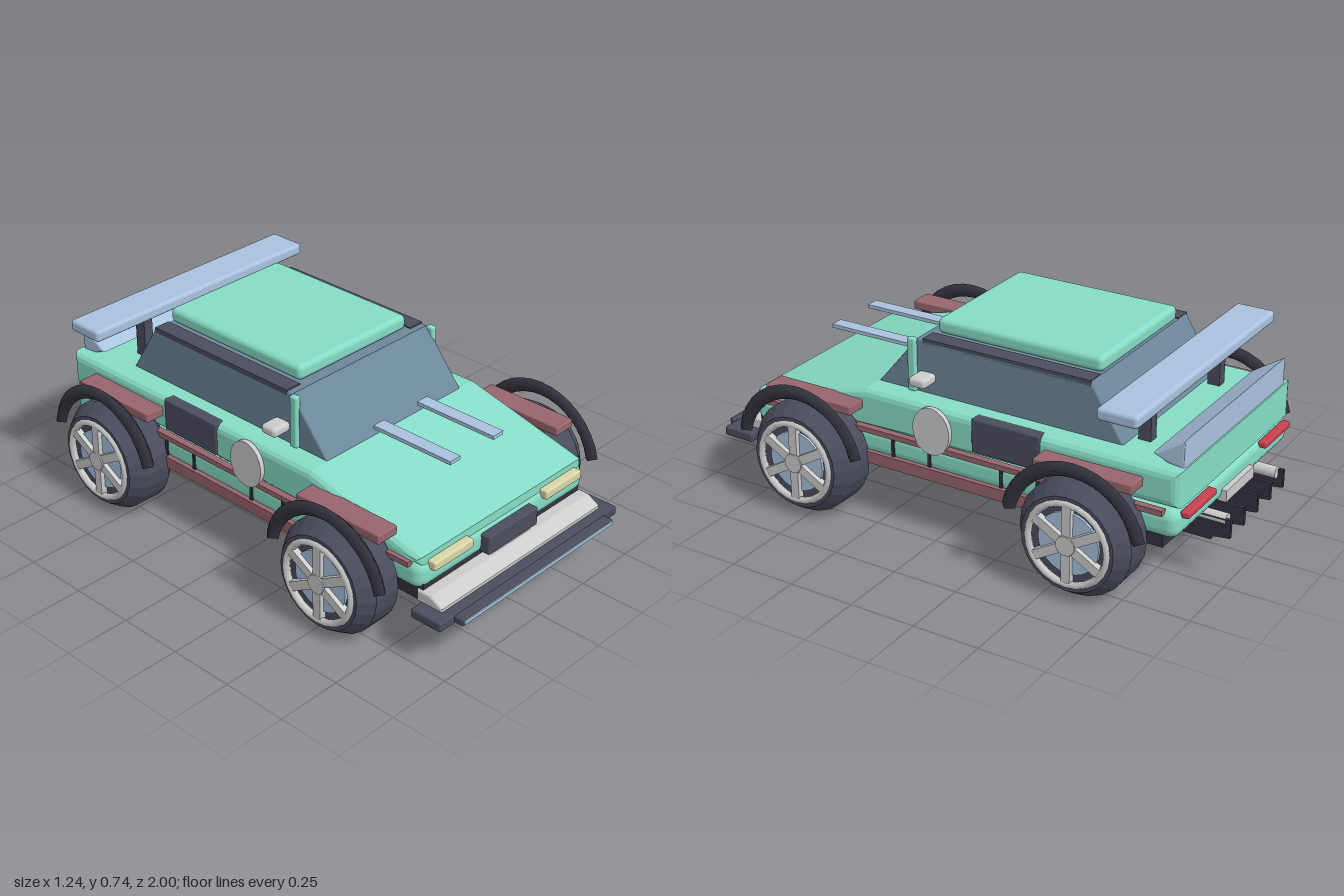
import * as THREE from 'three';
import { RoundedBoxGeometry } from 'three/addons/geometries/RoundedBoxGeometry.js';

const COLORS = {
  paint: 0x86dcc6, dark: 0x4b4d5e, black: 0x33343e, trim: 0x98656d, blue: 0xa9c2de,
  grey: 0xcccccc, glass: 0x6c8799, lamp: 0xd9d5a8, tail: 0xc8414e,
};
const materials = {};
for (const key in COLORS) {
  materials[key] = new THREE.MeshStandardMaterial({ color: COLORS[key] });
}
materials.tyre = new THREE.MeshStandardMaterial({ color: COLORS.dark, flatShading: true });

function add(parent, name, geometry, material) {
  const mesh = new THREE.Mesh(geometry, materials[material]);
  mesh.name = name;
  parent.add(mesh);
  return mesh;
}

// Box given by its limits on each axis, optionally with rounded edges
function box(parent, name, material, [x0, x1], [y0, y1], [z0, z1], radius = 0) {
  const size = [x1 - x0, y1 - y0, z1 - z0];
  const geometry = radius ? new RoundedBoxGeometry(...size, 3, radius) : new THREE.BoxGeometry(...size);
  const mesh = add(parent, name, geometry, material);
  mesh.position.set((x0 + x1) / 2, (y0 + y1) / 2, (z0 + z1) / 2);
  return mesh;
}

// The same box on both sides of the car
function pair(parent, name, material, [x0, x1], y, z, radius) {
  box(parent, name, material, [x0, x1], y, z, radius);
  box(parent, name, material, [-x1, -x0], y, z, radius);
}

// Side profile in (z, y) stretched across the car's width
function across(parent, name, material, points, width, bevel = 0, x = 0) {
  const shape = new THREE.Shape(points.map(([z, y]) => new THREE.Vector2(z, y)));
  const geometry = new THREE.ExtrudeGeometry(shape, {
    depth: width - 2 * bevel, bevelEnabled: bevel > 0, bevelSize: bevel,
    bevelOffset: -bevel, bevelThickness: bevel, bevelSegments: 3,
  });
  geometry.translate(0, 0, -(width - 2 * bevel) / 2);
  geometry.rotateY(-Math.PI / 2);
  const mesh = add(parent, name, geometry, material);
  mesh.position.x = x;
  return mesh;
}

// Wheel with its outer face towards +x, measured from the car's centre line
function makeWheel() {
  const wheel = new THREE.Group();
  wheel.name = 'wheel';
  const profile = [[0, 0.395], [0.17, 0.395], [0.213, 0.445], [0.213, 0.55], [0.175, 0.605],
    [0.155, 0.605], [0.155, 0.585], [0, 0.585]].map(([r, x]) => new THREE.Vector2(r, x));
  add(wheel, 'tyre', new THREE.LatheGeometry(profile, 24), 'tyre').rotation.z = -Math.PI / 2;
  const disc = add(wheel, 'wheelDisc', new THREE.CylinderGeometry(0.115, 0.115, 0.02, 24), 'blue');
  disc.rotation.z = Math.PI / 2;
  disc.position.x = 0.585;
  const rim = add(wheel, 'rim', new THREE.TorusGeometry(0.15, 0.014, 6, 24), 'grey');
  rim.rotation.y = Math.PI / 2;
  rim.position.x = 0.602;
  for (let i = 0; i < 6; i++) {
    const spoke = add(wheel, 'spoke', new THREE.BoxGeometry(0.025, 0.13, 0.034).translate(0, 0.085, 0), 'grey');
    spoke.position.x = 0.6;
    spoke.rotation.x = i * Math.PI / 3;
  }
  const hub = add(wheel, 'hub', new THREE.CylinderGeometry(0.036, 0.036, 0.035, 16), 'grey');
  hub.rotation.z = Math.PI / 2;
  hub.position.x = 0.6;
  return wheel;
}

export function createModel() {
  const car = new THREE.Group();
  car.name = 'rallyCar';

  // Body: floor, lower shell, wedge-shaped upper shell
  box(car, 'floor', 'black', [-0.42, 0.42], [0.19, 0.26], [-0.85, 0.83]);
  box(car, 'lowerBody', 'paint', [-0.445, 0.445], [0.235, 0.343], [-0.91, 0.835], 0.04);
  across(car, 'upperBody', 'paint',
    [[-0.91, 0.35], [0.825, 0.33], [0.825, 0.365], [0.33, 0.487], [-0.91, 0.485]], 0.88, 0.03);

  // Cabin
  across(car, 'cabinGlass', 'glass',
    [[-0.66, 0.48], [0.335, 0.48], [0.165, 0.685], [-0.53, 0.685]], 0.7, 0.008);
  box(car, 'roof', 'paint', [-0.275, 0.275], [0.685, 0.743], [-0.53, 0.13], 0.02);
  pair(car, 'roofRail', 'dark', [0.285, 0.35], [0.67, 0.69], [-0.53, 0.14]);
  pair(car, 'windscreenPost', 'paint', [0.34, 0.366], [0.485, 0.687], [0.165, 0.198], 0.008);
  pair(car, 'mirror', 'grey', [0.345, 0.427], [0.532, 0.57], [0.085, 0.155], 0.015);

  // Flanks
  pair(car, 'sill', 'trim', [0.41, 0.455], [0.205, 0.25], [-0.4, 0.34]);
  pair(car, 'sideStrip', 'trim', [0.43, 0.457], [0.325, 0.345], [-0.86, 0.79]);
  for (const z of [0.21, 0.055, -0.24, -0.385]) {
    pair(car, 'panelGap', 'black', [0.43, 0.45], [0.255, 0.325], [z - 0.006, z + 0.006]);
  }
  pair(car, 'sideIntake', 'dark', [0.4, 0.447], [0.36, 0.487], [-0.39, -0.12], 0.006);
  for (const side of [1, -1]) {
    const roundel = add(car, 'doorDisc', new THREE.CylinderGeometry(0.08, 0.08, 0.018, 32), 'grey');
    roundel.rotation.z = Math.PI / 2;
    roundel.scale.set(1.12, 1, 0.95);
    roundel.position.set(side * 0.449, 0.4, 0.04);
  }

  // Wheels, arches and fender blocks
  for (const z of [0.53, -0.592]) {
    for (const side of [1, -1]) {
      const wheel = makeWheel();
      wheel.position.set(0, 0.213, z);
      wheel.rotation.y = side > 0 ? 0 : Math.PI;
      car.add(wheel);
      const arc = Math.PI * 0.86;
      const arch = add(car, 'wheelArch',
        new THREE.TorusGeometry(0.25, 0.027, 4, 16, arc).rotateZ((Math.PI - arc) / 2), 'black');
      arch.rotation.y = Math.PI / 2;
      arch.position.set(side * 0.572, 0.222, z);
      arch.material.side = THREE.DoubleSide;
    }
    pair(car, 'fenderBlock', 'trim', [0.425, 0.517], [0.407, 0.443], [z - 0.187, z + 0.187], 0.006);
  }

  // Hood bars
  pair(car, 'hoodBar', 'blue', [0.087, 0.14], [0.533, 0.547], [0.35, 0.695]);

  // Front end
  pair(car, 'headlight', 'lamp', [0.195, 0.395], [0.307, 0.343], [0.82, 0.857], 0.008);
  box(car, 'frontPlate', 'dark', [-0.132, 0.132], [0.247, 0.318], [0.82, 0.87], 0.006);
  box(car, 'frontPlateStrip', 'grey', [-0.105, 0.105], [0.235, 0.247], [0.82, 0.86]);
  across(car, 'frontBumper', 'grey',
    [[0.81, 0.19], [0.92, 0.19], [0.92, 0.208], [0.87, 0.236], [0.81, 0.236]], 0.86, 0.008);
  box(car, 'frontGuard', 'dark', [-0.482, 0.482], [0.16, 0.196], [0.83, 0.958], 0.008);
  box(car, 'splitter', 'dark', [-0.41, 0.41], [0.165, 0.192], [0.95, 0.993], 0.006);
  box(car, 'splitterStrip', 'blue', [-0.405, 0.405], [0.173, 0.187], [0.985, 0.997]);

  // Rear end
  pair(car, 'tailLight', 'tail', [0.195, 0.405], [0.31, 0.335], [-0.934, -0.9], 0.008);
  box(car, 'rearPlate', 'grey', [-0.11, 0.11], [0.24, 0.283], [-0.93, -0.9]);
  for (let i = -2; i <= 2; i++) {
    across(car, 'diffuserFin', 'black',
      [[-1, 0.172], [-0.94, 0.165], [-0.93, 0.15], [-0.81, 0.15], [-0.81, 0.24], [-1, 0.24]],
      0.014, 0, i * 0.107);
  }
  for (const x of [0.2, -0.2]) {
    const pipe = add(car, 'exhaust', new THREE.CylinderGeometry(0.022, 0.022, 0.12, 16), 'grey');
    pipe.rotation.x = Math.PI / 2;
    pipe.position.set(x, 0.23, -0.92);
  }

  // Rear wing and lip spoiler
  box(car, 'wing', 'blue', [-0.526, 0.526], [0.647, 0.693], [-0.797, -0.645], 0.014);
  pair(car, 'wingSupport', 'dark', [0.24, 0.28], [0.47, 0.66], [-0.722, -0.675]);
  across(car, 'lipSpoiler', 'blue',
    [[-0.905, 0.475], [-0.84, 0.485], [-0.785, 0.508], [-0.905, 0.587]], 0.78, 0.012);

  return car;
}
